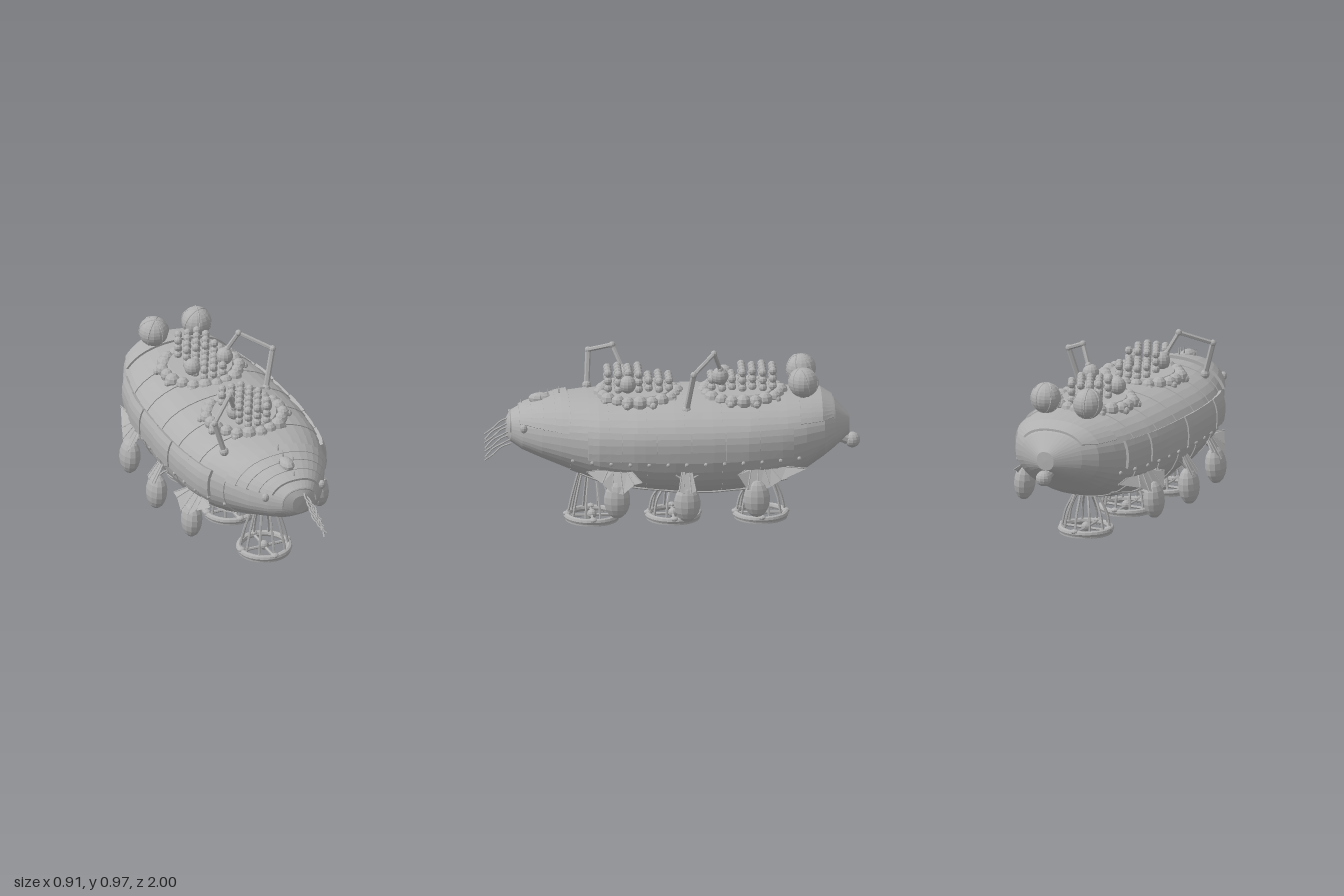
import * as THREE from 'three';

const grey = new THREE.MeshStandardMaterial({ color: 0xb0b0b0, flatShading: true, side: THREE.DoubleSide });
grey.name = 'plain grey';

// Hull stations: z, half width, top y, bottom y, height of widest point
const stations = [
  [-0.942, 0.001, 0.512, 0.508, 0.51], [-0.94, 0.05, 0.56, 0.46, 0.51], [-0.86, 0.18, 0.645, 0.40, 0.52],
  [-0.8, 0.25, 0.685, 0.36, 0.51], [-0.7, 0.30, 0.695, 0.29, 0.5], [-0.6, 0.335, 0.70, 0.24, 0.49],
  [-0.4, 0.378, 0.705, 0.19, 0.49], [-0.2, 0.393, 0.71, 0.172, 0.49], [0, 0.397, 0.71, 0.18, 0.49],
  [0.2, 0.39, 0.705, 0.205, 0.49], [0.4, 0.355, 0.70, 0.25, 0.49], [0.5, 0.315, 0.695, 0.29, 0.49],
  [0.6, 0.27, 0.685, 0.33, 0.495], [0.7, 0.22, 0.665, 0.37, 0.5], [0.8, 0.155, 0.635, 0.41, 0.51],
  [0.86, 0.10, 0.605, 0.45, 0.52], [0.88, 0.045, 0.57, 0.47, 0.52], [0.882, 0.001, 0.522, 0.518, 0.52],
];
const E = 0.87;
const spow = (v) => Math.sign(v) * Math.abs(v) ** E;

function sectionAt(z) {
  let i = 0;
  while (i < stations.length - 2 && z > stations[i + 1][0]) i++;
  const a = stations[i], b = stations[i + 1];
  const t = THREE.MathUtils.clamp((z - a[0]) / (b[0] - a[0]), 0, 1);
  return a.map((v, k) => v + (b[k] - v) * t);
}
function hullPoint(z, ang, off = 0) {
  const [, w, top, bot, mid] = sectionAt(z), c = Math.cos(ang), s = Math.sin(ang);
  return new THREE.Vector3(w * spow(c) + off * c, mid + (s > 0 ? top - mid : mid - bot) * spow(s) + off * s, z);
}
function angleAt(z, y) {
  const [, , top, bot, mid] = sectionAt(z);
  const s = THREE.MathUtils.clamp((y - mid) / (y > mid ? top - mid : mid - bot), -1, 1);
  return Math.asin(Math.sign(s) * Math.abs(s) ** (1 / E));
}
function gridGeometry(rows) {
  const pos = rows.flat().flatMap((p) => [p.x, p.y, p.z]), idx = [], n = rows[0].length;
  for (let i = 0; i < rows.length - 1; i++) for (let j = 0; j < n - 1; j++) {
    const a = i * n + j;
    idx.push(a, a + 1, a + n, a + 1, a + n + 1, a + n);
  }
  const g = new THREE.BufferGeometry();
  g.setAttribute('position', new THREE.Float32BufferAttribute(pos, 3));
  g.setIndex(idx);
  g.computeVertexNormals();
  return g;
}
// Raised plate following the hull, with edges dropping to the skin
function plateGeometry(z0, z1, from, to, off, nz = 3, na = 6) {
  const rows = [];
  for (let i = -1; i <= nz + 1; i++) {
    const z = z0 + (z1 - z0) * THREE.MathUtils.clamp(i / nz, 0, 1), row = [];
    for (let j = -1; j <= na + 1; j++) {
      const edge = i < 0 || i > nz || j < 0 || j > na;
      const t = THREE.MathUtils.clamp(j / na, 0, 1);
      row.push(hullPoint(z, from(z) + (to(z) - from(z)) * t, edge ? -0.004 : off));
    }
    rows.push(row);
  }
  return gridGeometry(rows);
}

export function createModel() {
  const model = new THREE.Group();
  const add = (name, geo, parent = model) => {
    const m = new THREE.Mesh(geo, grey);
    m.name = name;
    parent.add(m);
    return m;
  };
  const ball = (name, x, y, z, r, sy = 1, sz = 1, seg = 10) => {
    const m = add(name, new THREE.SphereGeometry(r, seg, Math.max(6, seg - 3)));
    m.position.set(x, y, z);
    m.scale.set(1, sy, sz);
    return m;
  };
  const rod = (name, a, b, r, sides = 6) => {
    const d = b.clone().sub(a);
    const m = add(name, new THREE.CylinderGeometry(r, r, d.length(), sides));
    m.position.copy(a).addScaledVector(d, 0.5);
    m.quaternion.setFromUnitVectors(new THREE.Vector3(0, 1, 0), d.normalize());
    return m;
  };
  const tube = (name, pts, r, n = 8) =>
    add(name, new THREE.TubeGeometry(new THREE.CatmullRomCurve3(pts), n, r, 5));
  const V = (x, y, z) => new THREE.Vector3(x, y, z);

  // Hull
  const zs = [-0.942, -0.94, -0.9, -0.86];
  for (let z = -0.8; z < 0.81; z += 0.1) zs.push(z);
  zs.push(0.83, 0.86, 0.88, 0.882);
  add('hull', gridGeometry(zs.map((z) => Array.from({ length: 37 }, (_, j) => hullPoint(z, j / 36 * Math.PI * 2)))));

  // Raised hoops around the hull
  for (let k = 0; k < 6; k++) {
    const z = -0.55 + k * 0.2;
    add('hullBand', plateGeometry(z, z + 0.1, () => -Math.PI / 2, () => Math.PI * 1.5, 0.005, 1, 36));
  }
  // Overlapping scales on the head
  for (let k = 0; k < 4; k++) {
    const z = 0.56 + k * 0.062, low = (q) => angleAt(q, 0.56 + k * 0.004);
    add('headScale', plateGeometry(z, z + 0.068, low, (q) => Math.PI - low(q), 0.02 - k * 0.003, 2, 14));
  }
  // Tail collar
  const collar = (q) => angleAt(q, 0.595);
  add('tailCollar', plateGeometry(-0.85, -0.67, collar, (q) => Math.PI - collar(q), 0.012, 3, 16));

  for (const s of [1, -1]) {
    // Side armour panels
    for (let k = 0; k < 6; k++) {
      const z = -0.63 + k * 0.183, lo = (q) => angleAt(q, 0.435), hi = (q) => angleAt(q, 0.58);
      const p = s > 0 ? [lo, hi] : [(q) => Math.PI - hi(q), (q) => Math.PI - lo(q)];
      add('sidePanel', plateGeometry(z, z + 0.177, p[0], p[1], k % 2 ? 0.02 : 0.015, 3, 4));
    }
    // Rivets and lower rails
    for (let k = 0; k < 13; k++) {
      const z = -0.66 + k * 0.1, p = hullPoint(z, angleAt(z, 0.415), 0.005);
      ball('rivet', s * p.x, p.y, z, 0.011, 1, 1, 7);
    }
    const rail = [];
    for (let z = -0.6; z < 0.51; z += 0.1) {
      const p = hullPoint(z, -0.95, 0.006);
      rail.push(V(s * p.x, p.y, p.z));
    }
    tube('bellyRail', rail, 0.006, 22);

    // Eyes
    ball('eye', s * 0.165, 0.558, 0.795, 0.02, 1.2, 1);

    // Hanging pods with hangers
    for (const [x, y, z] of [[0.37, 0.22, 0.31], [0.402, 0.205, -0.06], [0.385, 0.22, -0.43]]) {
      ball('pod', s * x, y, z, 0.054, 1.86, 1.3, 12).rotation.z = s * 0.06;
      for (const d of [-0.06, 0, 0.06]) {
        const p = hullPoint(z + d, angleAt(z + d, 0.35));
        tube('podHanger', [V(s * p.x, p.y, p.z), V(s * (x - 0.03), 0.33, z + d / 2), V(s * x, y + 0.08, z)], 0.006);
      }
    }
    // Ribbed webbed fins
    for (const [z, outer] of [
      [0.31, [[0.16, 0.365], [0.08, 0.315], [0.03, 0.27], [-0.03, 0.265], [-0.09, 0.315], [-0.13, 0.325]]],
      [-0.06, [[0.045, 0.28], [0.02, 0.27], [-0.02, 0.27], [-0.045, 0.28]]],
      [-0.43, [[0.1, 0.355], [0.05, 0.28], [-0.01, 0.265], [-0.07, 0.285], [-0.13, 0.315], [-0.27, 0.36]]],
    ]) {
      const n = outer.length - 1;
      const tips = outer.map(([d, y]) => V(s * (sectionAt(z + d)[1] + (0.4 - y) * 0.32), y, z + d));
      const roots = outer.map(([d]) => {
        const q = z + d * 0.6, p = hullPoint(q, angleAt(q, 0.37));
        return V(s * p.x, p.y, q);
      });
      add('fin', gridGeometry([roots, tips]));
      for (let i = 0; i <= n; i++) rod('finRib', roots[i], tips[i], 0.004, 5);
    }

    // Large seamed globes at the stern
    const g = ball('sternGlobe', s * 0.125, 0.78, -0.69, 0.08, 1, 1, 16);
    for (let k = 0; k < 3; k++) {
      const seam = add('globeSeam', new THREE.TorusGeometry(0.08, 0.003, 4, 24), g);
      seam.rotation.set(0.25, k * Math.PI / 3 + 0.3 * s, 0);
    }
  }

  // Rosette gardens on deck
  for (const [cz, tall] of [[-0.37, -1], [0.18, 1]]) {
    for (let k = 0; k < 20; k++) {
      const a = k / 20 * Math.PI * 2, r = 0.196 + 0.008 * (k % 2);
      ball('rosettePetal', r * Math.cos(a), 0.698, cz + r * Math.sin(a), 0.036 + 0.005 * (k % 3 === 0), 1, 1, 9);
      if (k % 2) ball('rosetteBud', 0.235 * Math.cos(a), 0.69, cz + 0.225 * Math.sin(a), 0.02, 1, 1, 7);
    }
    const bed = add('rosetteBed', new THREE.CylinderGeometry(0.17, 0.19, 0.03, 20));
    bed.position.set(0, 0.71, cz);
    for (let i = -3; i <= 3; i++) {
      const count = [3, 4, 3, 4, 3, 4, 3][i + 3];
      for (let j = 0; j < count; j++) {
        const x = (j - (count - 1) / 2) * 0.054, z = cz + i * 0.054;
        const levels = i * tall > -1 ? 3 : 2;
        rod('beadStem', V(x, 0.71, z), V(x, 0.72 + levels * 0.035, z), 0.01);
        for (let l = 0; l < levels; l++) ball('bead', x, 0.74 + l * 0.042, z, 0.022, 1, 1, 8);
      }
    }
  }
  for (const [x, y, z] of [[0.085, 0.77, 0.24], [-0.085, 0.775, 0.24], [0.085, 0.81, -0.25], [-0.09, 0.77, -0.28]])
    ball('gardenGlobe', x, y, z, 0.045, 1.05, 1, 12);

  // Jointed deck arms
  for (const pts of [
    [V(-0.24, 0.67, 0.44), V(-0.292, 0.85, 0.43), V(-0.15, 0.92, 0.31), V(-0.1, 0.81, 0.26)],
    [V(0.24, 0.67, -0.065), V(0.295, 0.882, -0.1), V(0.15, 0.953, -0.215), V(0.1, 0.85, -0.25)],
  ]) {
    pts.forEach((p, i) => {
      ball('armJoint', p.x, p.y, p.z, i ? 0.018 : 0.025);
      if (i) rod('armSegment', pts[i - 1], p, i === 1 ? 0.015 : 0.012);
    });
  }

  // Landing stands
  for (const cz of [0.425, -0.005, -0.47]) {
    const ring = add('standRing', new THREE.TorusGeometry(0.133, 0.017, 8, 28));
    ring.rotation.x = Math.PI / 2;
    ring.position.set(0, 0.024, cz);
    const base = add('standRim', new THREE.CylinderGeometry(0.142, 0.142, 0.02, 28, 1, true));
    base.position.set(0, 0.012, cz);
    ball('standHub', 0, 0.03, cz, 0.026);
    for (let k = 0; k < 4; k++) {
      const a = k * Math.PI / 2, x = 0.133 * Math.cos(a), z = cz + 0.133 * Math.sin(a);
      rod('standSpoke', V(0, 0.025, cz), V(x, 0.025, z), 0.008);
      ball('standKnob', x, 0.035, z, 0.022, 0.6);
    }
    for (let k = 0; k < 10; k++) {
      const a = k * Math.PI / 5 + Math.PI / 2, c = Math.cos(a), d = Math.sin(a);
      const z = cz + 0.055 * d, topY = sectionAt(z)[3] + 0.03;
      tube('standStrut', [V(0.128 * c, 0.035, cz + 0.128 * d), V(0.11 * c, 0.12, cz + 0.11 * d),
        V(0.068 * c, topY - 0.035, cz + 0.068 * d), V(0.055 * c, topY, z)], 0.007);
    }
  }

  // Forehead blister with small spines
  ball('foreheadBlister', 0, 0.675, 0.7, 0.04, 0.8, 1.6);
  for (const [x, z, h] of [[0, 0.6, 0.04], [0, 0.66, 0.05], [0, 0.74, 0.03], [0.04, 0.7, 0.03], [-0.04, 0.7, 0.03], [0, 0.8, 0.03]]) {
    const spine = add('spine', new THREE.ConeGeometry(0.006, h, 5));
    spine.position.set(x, sectionAt(z)[2] + 0.02 + h / 2, z);
  }

  // Nose lip and whiskers
  const lip = tube('noseLip', Array.from({ length: 13 }, (_, k) => hullPoint(0.862, k / 12 * Math.PI, 0.004)), 0.006, 24);
  lip.scale.z = 1;
  for (let k = 0; k < 7; k++) {
    const x = 0.03 + k * 0.007, y = 0.585 - k * 0.022, w = k % 2 ? 0.012 : -0.01;
    tube('whisker', [V(x, y, 0.855), V(x + w, y - 0.025, 0.91), V(x + 0.012 - w, y - 0.055, 0.955),
      V(x + 0.02 + w, y - 0.09, 0.997)], 0.005, 10);
  }

  // Tail knob
  rod('tailStem', V(0, 0.45, -0.87), V(0, 0.42, -0.95), 0.032, 10);
  ball('tailKnob', 0, 0.42, -0.957, 0.042, 1, 1, 12);

  return model;
}
